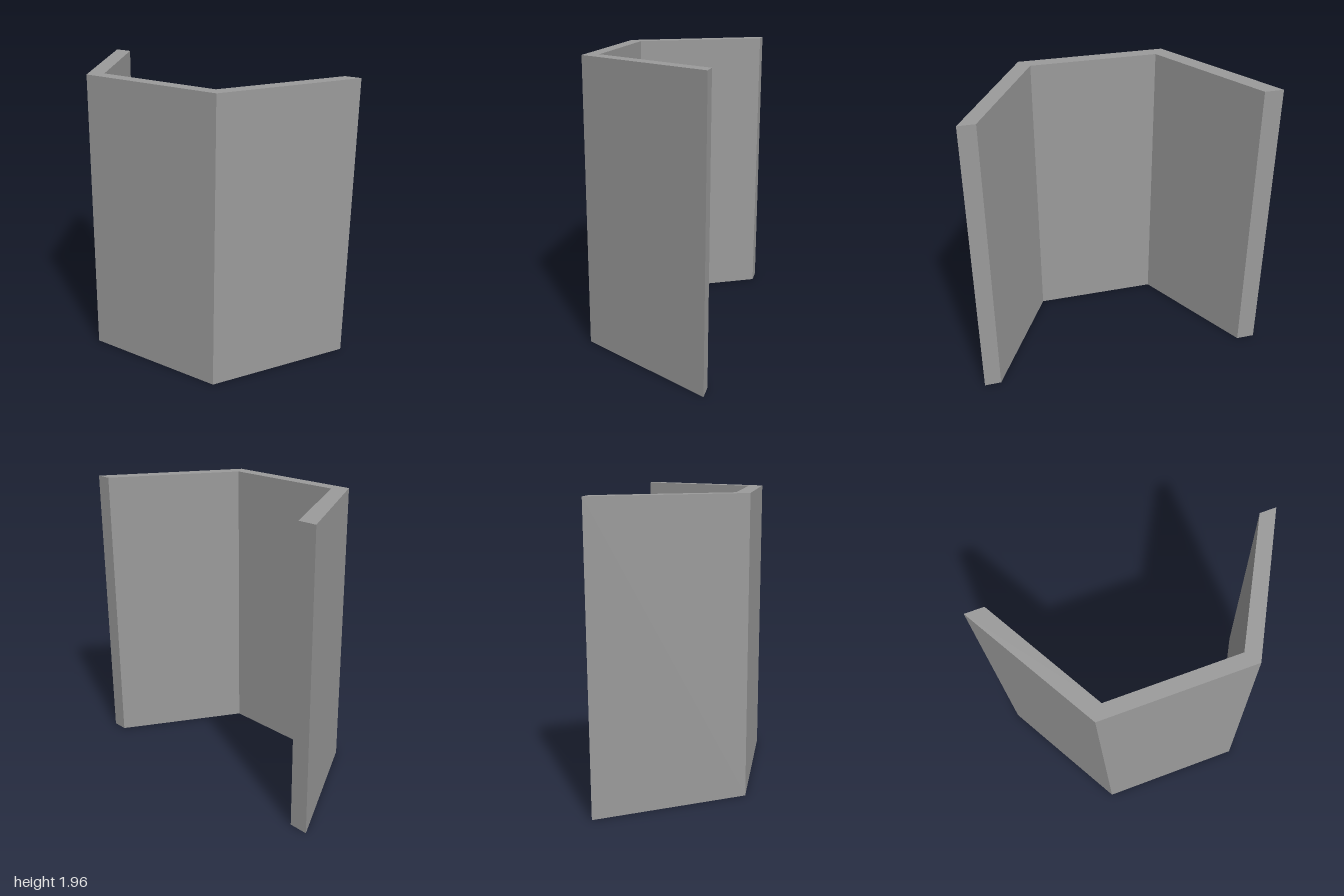
import * as THREE from 'three';

const HEIGHT = 1.96;

// Plan outline of the three-sided screen as [x, z], outer face then inner face
const OUTLINE = [
  [-1, -0.455], [-0.507, 0.445], [0.497, 0.452], [1, -0.455],
  [0.888, -0.455], [0.432, 0.358], [-0.435, 0.352], [-0.873, -0.455],
];

export function createModel() {
  const group = new THREE.Group();
  group.name = 'foldedScreen';

  // Plan drawn with y = -z, then stood upright
  const plan = new THREE.Shape(OUTLINE.map(([x, z]) => new THREE.Vector2(x, -z)));
  const geometry = new THREE.ExtrudeGeometry(plan, { depth: HEIGHT, bevelEnabled: false });
  geometry.rotateX(-Math.PI / 2);

  const material = new THREE.MeshStandardMaterial({ color: 0x9a9a9a, flatShading: true });
  const wall = new THREE.Mesh(geometry, material);
  wall.name = 'angledWall';
  group.add(wall);
  return group;
}
